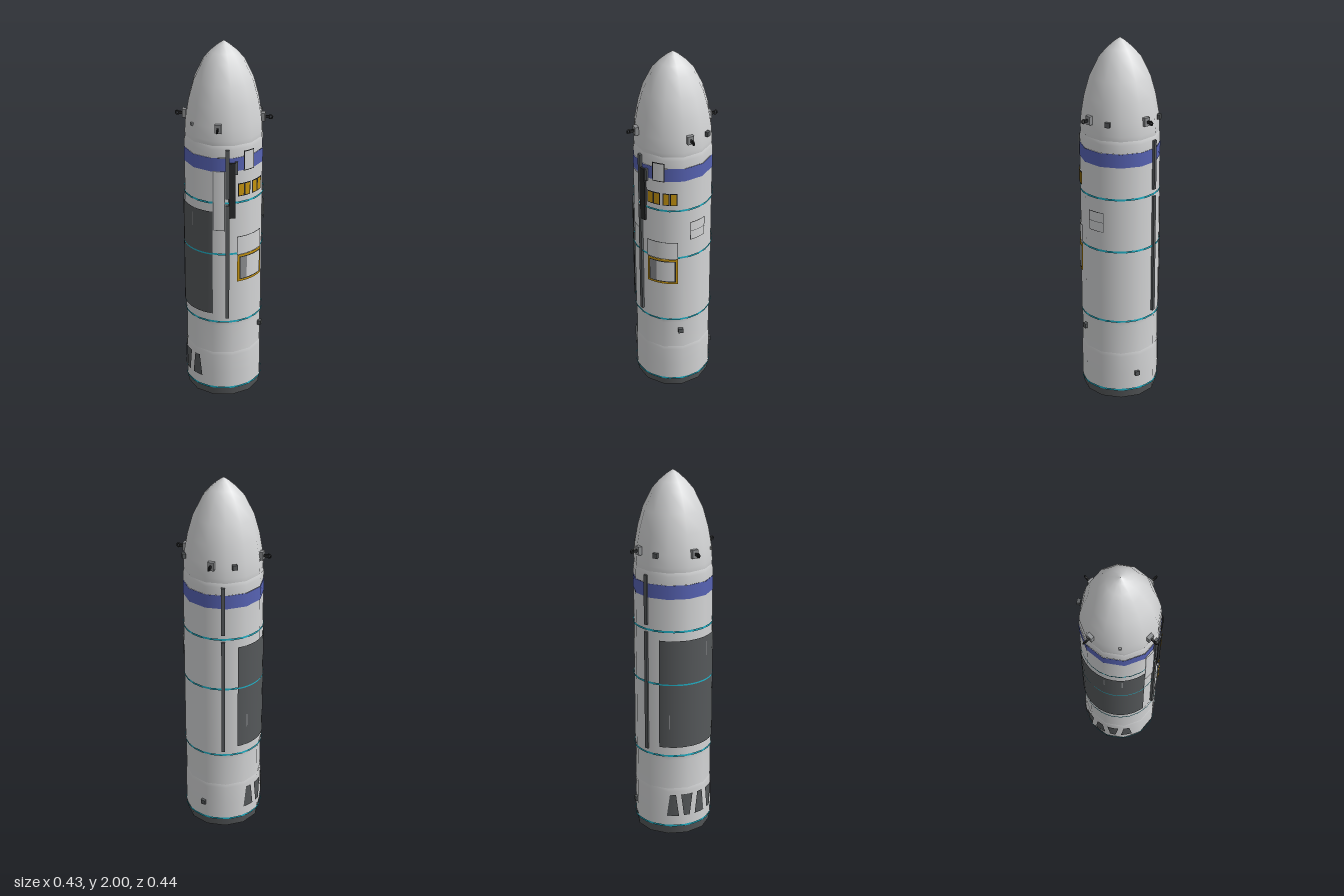
import * as THREE from 'three';

const mat = (name, color) => {
  const m = new THREE.MeshStandardMaterial({ color, side: THREE.DoubleSide });
  m.name = name;
  return m;
};
const RAD = Math.PI / 180;
const SIDES = 12, PHASE = 6 * RAD;

export function createModel() {
  const root = new THREE.Group();
  root.name = 'rocket';
  const white = mat('hullWhite', 0xd4d5d6), dark = mat('darkGrey', 0x55585a), black = mat('black', 0x262728);
  const blue = mat('bandBlue', 0x5763b4), cyan = mat('ringCyan', 0x20b2c8), gold = mat('gold', 0xc6940f);
  const grey = mat('grey', 0x8b8d8f);

  const add = (name, geo, material, parent = root) => {
    const m = new THREE.Mesh(geo, material);
    m.name = name;
    parent.add(m);
    return m;
  };
  // Faceted body section from [radius, y] points
  const section = (name, pts, m) => add(name,
    new THREE.LatheGeometry(pts.map(p => new THREE.Vector2(...p)), SIDES, PHASE), m);
  // Thin curved plate on the hull; azimuth in degrees from the front toward +x
  const plate = (name, a0, a1, y0, y1, r, m) => {
    const n = Math.max(2, Math.ceil((a1 - a0) / 8));
    const g = new THREE.CylinderGeometry(r, r, y1 - y0, n, 1, true, a0 * RAD, (a1 - a0) * RAD);
    return add(name, g.translate(0, (y0 + y1) / 2, 0), m);
  };
  // Plate with a contrasting border
  const framed = (name, a0, a1, y0, y1, t, border, fill, r = 0.2145) => {
    const ta = t / r / RAD;
    plate(name + 'Border', a0, a1, y0, y1, r, border);
    plate(name, a0 + ta, a1 - ta, y0 + t, y1 - t, r + 0.0015, fill);
  };
  // Azimuth of a front-facing x position
  const az = x => Math.asin(x / 0.216) / RAD;
  // Box standing on the hull
  const block = (name, w, h, d, a, y, r, m) => {
    const b = add(name, new THREE.BoxGeometry(w, h, d), m);
    b.position.set(Math.sin(a * RAD) * r, y, Math.cos(a * RAD) * r);
    b.rotation.y = a * RAD;
    return b;
  };

  // Hull
  section('baseUnderside', [[0, 0.03], [0.18, 0.03], [0.203, 0]], dark);
  section('baseSkirt', [[0.203, 0], [0.21, 0.05]], dark);
  section('lowerHull', [[0.21, 0.05], [0.211, 0.15], [0.211, 0.26], [0.208, 0.28]], white);
  section('engineHull', [[0.208, 0.28], [0.208, 0.45], [0.211, 0.475]], white);
  section('mainHull', [[0.211, 0.475], [0.211, 1.365]], white);
  section('blueBand', [[0.2125, 1.365], [0.2125, 1.44]], blue);
  section('upperHull', [[0.211, 1.44], [0.211, 1.485], [0.206, 1.505]], white);
  section('noseCone', [[0.206, 1.505], [0.208, 1.53], [0.203, 1.6], [0.186, 1.7], [0.158, 1.8],
    [0.109, 1.9], [0.07, 1.945], [0.03, 1.98], [0, 2]], white);

  // Trim rings
  for (const y of [0.055, 0.48, 0.893, 1.19]) {
    const g = new THREE.CylinderGeometry(0.2135, 0.2135, 0.011, 24, 1, true);
    add('trimRing', g, cyan).position.y = y;
  }

  // Large dark side panel with slits
  plate('sidePanel', 173, 307, 0.53, 1.14, 0.2155, dark);
  for (const [a, y] of [[247, 1.07], [188, 0.68], [273, 1.07]])
    plate('panelSlit', a - 0.8, a + 0.8, y - 0.04, y + 0.04, 0.217, grey);
  plate('panelTrimRing', 173, 307, 0.889, 0.897, 0.217, cyan);

  // Tapered dark patches near the base
  [193, 214, 236, 258, 280].forEach((a, i) => {
    const g = new THREE.CylinderGeometry(0.2145, 0.2145, 0.13, 4, 1, true, -9 * RAD, 18 * RAD);
    const p = g.attributes.position;
    for (let k = 0; k < p.count; k++) {
      const wide = (p.getY(k) > 0) === (i % 2 === 1);
      const t = Math.atan2(p.getX(k), p.getZ(k)) * (wide ? 1 : 0.5);
      p.setXYZ(k, Math.sin(t) * 0.2145, p.getY(k), Math.cos(t) * 0.2145);
    }
    g.computeVertexNormals();
    const m = add('basePatch', g, dark);
    m.position.y = 0.18;
    m.rotation.y = a * RAD;
  });

  // Cable ducts
  for (const a of [152, 328]) {
    block('lowerDuct', 0.02, 0.67, 0.014, a, 0.84, 0.212, dark);
    block('upperDuct', 0.02, 0.27, 0.014, a, 1.35, 0.212, dark);
  }
  block('mechanismArm', 0.034, 0.31, 0.016, az(-0.093), 1.26, 0.213, black);
  block('mechanismLever', 0.014, 0.07, 0.012, az(-0.072), 1.385, 0.214, dark);
  plate('mechanismPlate', az(-0.172), az(-0.125), 1.03, 1.37, 0.2135, grey);
  plate('mechanismPlateFace', az(-0.168), az(-0.129), 1.035, 1.365, 0.2145, white);

  // Hatch over the blue band
  framed('bandHatch', az(-0.033), az(0.033), 1.365, 1.475, 0.005, black, white, 0.216);

  // Gold windows
  for (const x of [-0.046, -0.009, 0.041, 0.079])
    framed('goldWindow', az(x - 0.0185), az(x + 0.0185), 1.225, 1.298, 0.005, black, gold, 0.2155);

  // Gold-framed doorway with a plain panel above it
  framed('upperDoor', az(-0.068), az(0.1), 0.885, 0.992, 0.003, dark, white);
  framed('doorFrame', az(-0.066), az(0.1), 0.725, 0.885, 0.012, gold, black, 0.2165);
  plate('door', az(-0.049), az(0.083), 0.743, 0.868, 0.219, white);
  plate('doorRecess', az(-0.049), az(-0.012), 0.743, 0.868, 0.22, grey);

  // Side window with a cross bar
  framed('sideWindow', 45.5, 71, 1, 1.11, 0.003, dark, white);
  plate('sideWindowBar', 46, 70.5, 1.0535, 1.0565, 0.2165, dark);

  // Small sensor blocks
  for (const [a, y, r] of [[77, 1.595, 0.211], [168, 1.595, 0.211], [32, 0.4, 0.213], [121, 0.15, 0.213]])
    block('sensor', 0.026, 0.026, 0.018, a, y, r, dark);
  block('smallSensor', 0.015, 0.015, 0.01, 270, 1.595, 0.204, grey);

  // Nose fittings: pad, arm and ring on each diagonal
  for (const a of [45, 135, 225, 315]) {
    const f = new THREE.Group();
    f.name = 'noseFitting';
    f.position.y = 1.6;
    f.rotation.y = a * RAD;
    root.add(f);
    add('fittingPad', new THREE.BoxGeometry(0.034, 0.045, 0.02), grey, f).position.z = 0.207;
    add('fittingArm', new THREE.BoxGeometry(0.009, 0.014, 0.028), black, f).position.z = 0.227;
    const ring = add('fittingRing', new THREE.TorusGeometry(0.01, 0.004, 6, 12), black, f);
    ring.position.z = 0.244;
    ring.rotation.y = Math.PI / 2;
  }
  return root;
}
